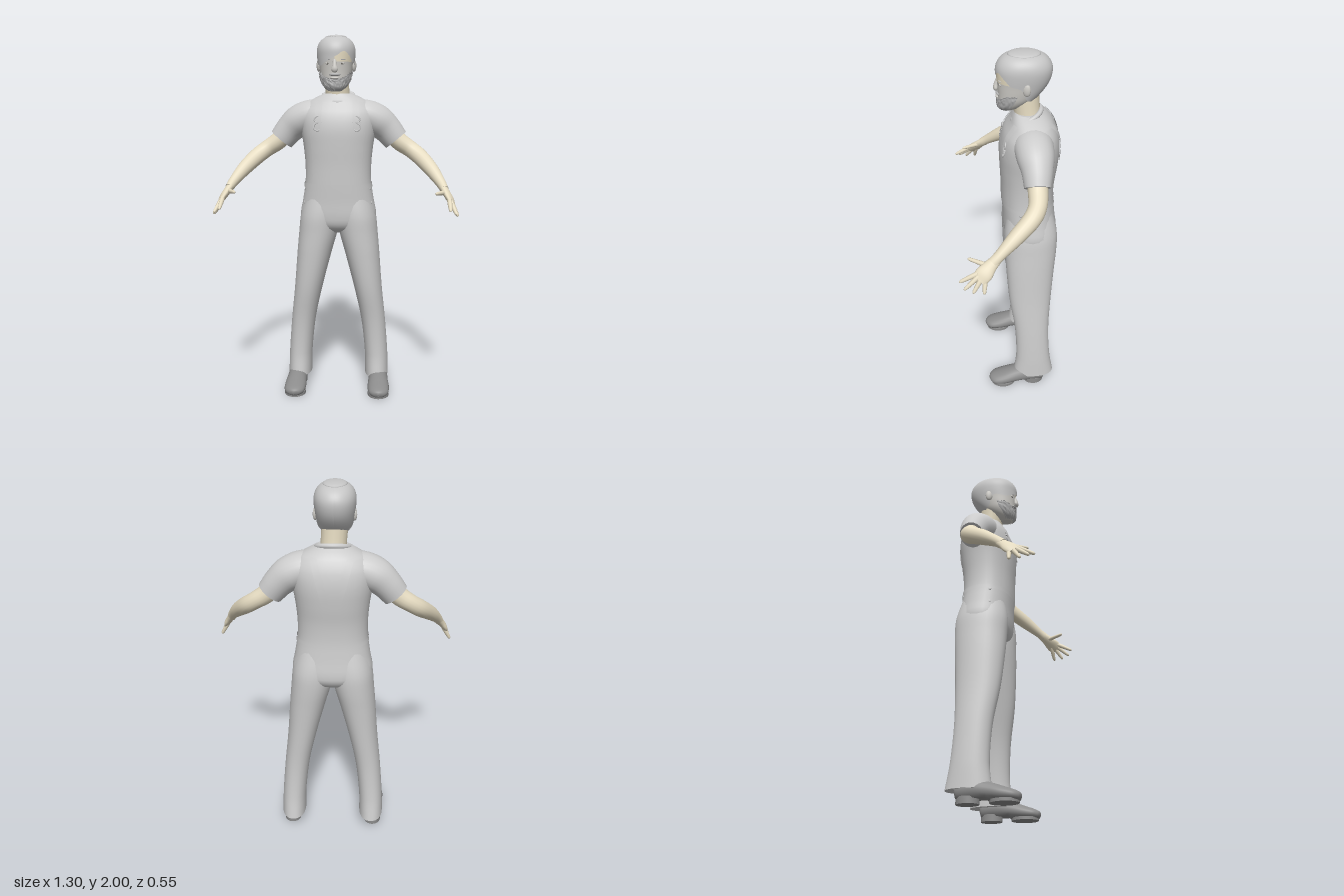
import * as THREE from 'three';

const mat = (name, color, side = THREE.FrontSide) => {
  const m = new THREE.MeshStandardMaterial({ color, side });
  m.name = name;
  return m;
};

// Smooth (Hermite) interpolation of keys [t, a, b, ...] at t
function sample(keys, t) {
  let i = 0;
  while (i < keys.length - 2 && t > keys[i + 1][0]) i++;
  const A = keys[i], B = keys[i + 1], h = B[0] - A[0];
  const s = Math.min(1, Math.max(0, (t - A[0]) / h));
  const P = keys[i - 1] || A, N = keys[i + 2] || B;
  return A.map((a, k) => {
    const m0 = (B[k] - P[k]) / (B[0] - P[0]) * h, m1 = (N[k] - A[k]) / (N[0] - A[0]) * h;
    const s2 = s * s, s3 = s2 * s;
    return (2 * s3 - 3 * s2 + 1) * a + (s3 - 2 * s2 + s) * m0 + (3 * s2 - 2 * s3) * B[k] + (s3 - s2) * m1;
  });
}

// Surface through rows of points; wrapped rows are capped at both ends
function surface(rows, wrap) {
  const n = rows[0].length, pos = [], idx = [];
  rows.forEach(r => r.forEach(p => pos.push(p.x, p.y, p.z)));
  for (let j = 0; j < rows.length - 1; j++)
    for (let i = 0; i < (wrap ? n : n - 1); i++) {
      const k = (i + 1) % n, a = j * n + i, b = j * n + k, c = a + n, d = b + n;
      idx.push(a, b, c, b, d, c);
    }
  if (wrap) [rows[0], rows[rows.length - 1]].forEach((r, end) => {
    const mid = r.reduce((s, p) => s.add(p), new THREE.Vector3()).divideScalar(n);
    const base = pos.length / 3;
    r.forEach(p => pos.push(p.x, p.y, p.z));
    pos.push(mid.x, mid.y, mid.z);
    for (let i = 0; i < n; i++) {
      const a = base + i, b = base + (i + 1) % n;
      end ? idx.push(a, b, base + n) : idx.push(b, a, base + n);
    }
  });
  const g = new THREE.BufferGeometry();
  g.setAttribute('position', new THREE.Float32BufferAttribute(pos, 3));
  g.setIndex(idx);
  g.computeVertexNormals();
  return g;
}

// Point on a horizontal section [y, cx, cz, rx, rz]; angle 0 faces the front
const pow = (v, e) => Math.sign(v) * Math.abs(v) ** (2 / e);
const onSection = ([y, cx, cz, rx, rz], th, e, off = 0) => new THREE.Vector3(
  cx + (rx + off) * pow(Math.sin(th), e), y, cz + (rz + off) * pow(Math.cos(th), e));

function stack(keys, e, n = 36, sub = 4) {
  const rows = [];
  for (let k = 0; k <= (keys.length - 1) * sub; k++) {
    const i = Math.min(Math.floor(k / sub), keys.length - 2), f = k / sub - i;
    const s = sample(keys, keys[i][0] + f * (keys[i + 1][0] - keys[i][0]));
    rows.push(Array.from({ length: n }, (_, a) => onSection(s, a / n * Math.PI * 2, e)));
  }
  return surface(rows, true);
}

// Patch lying just over a stack, between heights lo(angle) and hi(angle)
function shell(keys, e, th0, th1, lo, hi, off, n = 40, m = 16) {
  const rows = [];
  for (let j = 0; j <= m; j++) rows.push(Array.from({ length: n + 1 }, (_, i) => {
    const th = th0 + (th1 - th0) * i / n, f = Math.sin(j / m * Math.PI / 2);
    const y = lo(th) + (hi(th) - lo(th)) * f;
    const o = typeof off === 'function' ? off(i, j) : off;
    const p = onSection(sample(keys, y), th, e, o);
    return p;
  }));
  return surface(rows, false);
}

// Limb through points [x, y, z, r, r2]
function limb(pts, ref = [0, 0, 1], n = 18, sub = 5) {
  const keys = pts.map((p, i) => [i, p[0], p[1], p[2], p[3], p[4] ?? p[3]]);
  const rv = new THREE.Vector3(...ref), rows = [], last = keys.length - 1;
  const at = t => new THREE.Vector3(...sample(keys, t).slice(1, 4));
  for (let k = 0; k <= last * sub; k++) {
    const t = k / sub, [, , , , r, r2] = sample(keys, t), c = at(t);
    const dir = at(Math.min(last, t + 0.05)).sub(at(Math.max(0, t - 0.05))).normalize();
    const u = rv.clone().cross(dir).normalize(), v = u.clone().cross(dir);
    rows.push(Array.from({ length: n }, (_, i) => {
      const a = i / n * Math.PI * 2;
      return c.clone().addScaledVector(u, r * Math.sin(a)).addScaledVector(v, r2 * Math.cos(a));
    }));
  }
  return surface(rows, true);
}

function mirrored(g) {
  const m = g.clone().scale(-1, 1, 1), ix = m.index.array;
  for (let i = 0; i < ix.length; i += 3) [ix[i], ix[i + 1]] = [ix[i + 1], ix[i]];
  m.computeVertexNormals();
  return m;
}

// Sections [y, cx, cz, rx, rz]
const TORSO = [[0.92, 0, -0.12, 0.08, 0.07], [0.95, 0, -0.12, 0.17, 0.12], [1.0, 0, -0.122, 0.213, 0.143],
  [1.1, 0, -0.115, 0.2, 0.14], [1.2, 0, -0.108, 0.185, 0.137], [1.3, 0, -0.108, 0.184, 0.139],
  [1.4, 0, -0.112, 0.193, 0.148], [1.5, 0, -0.115, 0.208, 0.152], [1.58, 0, -0.118, 0.21, 0.138],
  [1.64, 0, -0.122, 0.17, 0.108], [1.67, 0, -0.115, 0.12, 0.088], [1.69, 0, -0.105, 0.075, 0.068]];
const LEG = [[0.07, 0.225, -0.14, 0.067, 0.116], [0.2, 0.221, -0.137, 0.066, 0.098], [0.4, 0.202, -0.128, 0.069, 0.097],
  [0.6, 0.17, -0.118, 0.08, 0.117], [0.8, 0.136, -0.118, 0.098, 0.133], [0.92, 0.114, -0.121, 0.109, 0.141],
  [1.02, 0.1, -0.12, 0.112, 0.142], [1.14, 0.08, -0.115, 0.1, 0.12]];
const HEAD = [[1.7, -0.01, -0.005, 0.025, 0.03], [1.72, -0.01, -0.015, 0.052, 0.057], [1.76, -0.01, -0.042, 0.076, 0.088],
  [1.8, -0.01, -0.06, 0.085, 0.107], [1.84, -0.01, -0.073, 0.09, 0.122], [1.88, -0.01, -0.08, 0.095, 0.13],
  [1.92, -0.01, -0.082, 0.096, 0.131], [1.95, -0.01, -0.082, 0.088, 0.119], [1.973, -0.01, -0.082, 0.071, 0.097],
  [1.987, -0.01, -0.082, 0.048, 0.066], [1.993, -0.01, -0.082, 0.022, 0.03], [1.995, -0.01, -0.082, 0.002, 0.003]];
const HAIRLINE = [[-3.15, 1.75], [-1.9, 1.78], [-1.5, 1.84], [-0.9, 1.835], [-0.4, 1.86], [0.1, 1.888],
  [0.45, 1.91], [0.8, 1.885], [1.1, 1.855], [1.5, 1.84], [1.9, 1.78], [3.15, 1.75]];

export function createModel() {
  const model = new THREE.Group();
  model.name = 'workerFigure';
  const cloth = mat('light grey cloth', 0xcccccc, THREE.DoubleSide);
  const skin = mat('skin', 0xe6dcc2);
  const face = mat('pale face', 0xcbc9c4);
  const hair = mat('grey hair', 0xc6c6c6, THREE.DoubleSide);
  const beardMat = mat('beard', 0xb2b2b2, THREE.DoubleSide);
  const leather = mat('shoe grey', 0x8c8c8c);
  const dark = mat('dark detail', 0x77736c);
  const add = (name, geo, m) => {
    const mesh = new THREE.Mesh(geo, m);
    mesh.name = name;
    model.add(mesh);
  };
  const pair = (name, geo, m) => {
    add('left' + name, geo, m);
    add('right' + name, mirrored(geo), m);
  };

  // Clothed body
  add('torso', stack(TORSO, 2.3), cloth);
  pair('TrouserLeg', stack(LEG, 2.2), cloth);
  pair('Sleeve', limb([[0.06, 1.575, -0.12, 0.07, 0.09], [0.14, 1.57, -0.12, 0.088, 0.098], [0.215, 1.54, -0.124, 0.09, 0.093],
    [0.27, 1.495, -0.127, 0.08, 0.078], [0.32, 1.435, -0.125, 0.071, 0.066]], undefined, 26), cloth);
  const collar = new THREE.TorusGeometry(0.076, 0.013, 10, 36).rotateX(Math.PI / 2);
  add('collar', collar.scale(1.08, 1, 1).rotateX(0.38).translate(0, 1.672, -0.098), cloth);

  // Overall bib, waistband and shoulder straps
  add('bib', shell(TORSO, 2.3, -0.75, 0.75, () => 1.2, th => 1.55 - 0.12 * th * th, 0.004), cloth);
  add('waistband', shell(TORSO, 2.3, -Math.PI, Math.PI, () => 1.175, () => 1.2, 0.004, 60, 3), cloth);
  const strap = (front, x0, y0, x1, y1) => surface(Array.from({ length: 13 }, (_, j) => {
    const f = j / 12, y = y0 + (y1 - y0) * f, [, , cz, rx, rz] = sample(TORSO, y);
    return [-0.018, 0, 0.018].map(w => {
      const x = x0 + (x1 - x0) * f + w;
      const d = (rz + 0.006) * Math.max(0, 1 - Math.abs(x / rx) ** 2.3) ** (1 / 2.3);
      return new THREE.Vector3(x, y, cz + (front ? d : -d));
    });
  }), false);
  pair('FrontStrap', strap(true, 0.106, 1.49, 0.098, 1.655), cloth);
  pair('BackStrap', strap(false, 0.03, 1.42, 0.092, 1.655), cloth);
  [[1.552, 0.017], [1.512, 0.02]].forEach(([y, r], i) =>
    pair('Buckle' + i, new THREE.TorusGeometry(r, 0.004, 6, 16).rotateX(-0.2).translate(0.106, y, i ? 0.026 : 0.018), cloth));
  pair('BuckleBar', new THREE.BoxGeometry(0.05, 0.008, 0.008).translate(0.106, 1.535, 0.022), cloth);
  [1.17, 1.09].forEach((y, i) => pair('HipButton' + i,
    new THREE.SphereGeometry(0.01, 10, 8).scale(0.5, 1, 1).translate(i ? 0.187 : 0.178, y, -0.06), cloth));

  // Arms
  pair('Arm', limb([[0.27, 1.5, -0.125, 0.05], [0.335, 1.43, -0.125, 0.05], [0.4, 1.385, -0.118, 0.046], [0.452, 1.345, -0.085, 0.045],
    [0.51, 1.285, -0.005, 0.039], [0.555, 1.225, 0.07, 0.028], [0.574, 1.192, 0.108, 0.023, 0.028]]), skin);

  // Hands
  const spread = [0.05, -0.04, -0.115];
  pair('Palm', limb([[0.566, 1.206, 0.09, 0.021, 0.026], [0.582, 1.178, 0.122, 0.02, 0.033],
    [0.6, 1.148, 0.152, 0.018, 0.042], [0.611, 1.122, 0.178, 0.012, 0.038]], spread), skin);
  [[[0.596, 1.14, 0.198], [0.596, 1.1, 0.272]], [[0.607, 1.13, 0.187], [0.629, 1.079, 0.25]],
    [[0.614, 1.122, 0.17], [0.64, 1.064, 0.208]], [[0.614, 1.118, 0.148], [0.646, 1.06, 0.155]],
    [[0.574, 1.178, 0.135], [0.522, 1.183, 0.226]]].forEach(([a, b], i) => {
    const at = f => a.map((v, k) => v + (b[k] - v) * f);
    pair(i < 4 ? 'Finger' + i : 'Thumb', limb([[...at(-0.25), 0.012], [...at(0.1), 0.0125], [...at(0.55), 0.0105],
      [...at(0.9), 0.008], [...at(1), 0.003]], spread, 10, 3), skin);
  });

  // Neck, head and hair
  add('neck', limb([[0, 1.62, -0.11, 0.07], [-0.004, 1.69, -0.1, 0.066, 0.066], [-0.01, 1.79, -0.088, 0.068, 0.07]]), skin);
  add('head', stack(HEAD, 2.15, 40), face);
  add('foreheadSkin', shell(HEAD, 2.15, 0, 1.1, () => 1.855, () => 1.915, 0.002, 16, 6), skin);
  add('hair', shell(HEAD, 2.15, -Math.PI, Math.PI, th => sample(HAIRLINE, th)[1], () => 1.995, 0.008, 72, 20), hair);
  add('hairCrown', new THREE.SphereGeometry(0.06, 24, 12).scale(1, 0.25, 1.35).translate(-0.01, 1.985, -0.082), hair);
  const rough = (i, j) => 0.003 + 0.007 * Math.abs(Math.sin(i * 12.99 + j * 78.23) * 437.58 % 1);
  add('beard', shell(HEAD, 2.15, -1.45, 1.45, () => 1.703, th => 1.765 + 0.035 * Math.min(1, th * th), rough, 44, 12), beardMat);

  // Face features
  add('nose', limb([[-0.01, 1.865, 0.043, 0.01], [-0.01, 1.835, 0.051, 0.013], [-0.01, 1.815, 0.055, 0.018, 0.013],
    [-0.01, 1.804, 0.05, 0.012]], [0, 0, 1], 14), face);
  add('mustache', new THREE.SphereGeometry(0.03, 18, 10).scale(1, 0.28, 0.45).translate(-0.01, 1.788, 0.043), beardMat);
  add('lips', new THREE.SphereGeometry(0.022, 16, 10).scale(1, 0.3, 0.5).translate(-0.01, 1.77, 0.046), face);
  [-1, 1].forEach(s => {
    const x = -0.01 + s * 0.038, side = s > 0 ? 'left' : 'right';
    add(side + 'Eye', new THREE.SphereGeometry(0.013, 14, 10).scale(1, 0.5, 0.5).translate(x, 1.846, 0.036), face);
    add(side + 'Iris', new THREE.SphereGeometry(0.005, 10, 8).scale(1, 1, 0.5).translate(x, 1.846, 0.041), dark);
    add(side + 'Eyebrow', new THREE.SphereGeometry(0.02, 14, 8).scale(1, 0.2, 0.4).rotateY(s * 0.35).translate(x, 1.866, 0.037), hair);
    add(side + 'Ear', new THREE.SphereGeometry(0.033, 16, 12).scale(0.35, 1, 0.62).rotateY(-s * 0.35).translate(-0.01 + s * 0.096, 1.838, -0.088), face);
  });

  // Shoes with a separate heel
  const shoe = limb([[0.235, 0.06, -0.203, 0.02, 0.03], [0.235, 0.062, -0.19, 0.045, 0.05], [0.235, 0.065, -0.12, 0.052, 0.055],
    [0.235, 0.055, -0.04, 0.056, 0.048], [0.237, 0.04, 0.03, 0.061, 0.04], [0.238, 0.031, 0.085, 0.055, 0.03],
    [0.238, 0.027, 0.112, 0.034, 0.021], [0.238, 0.025, 0.122, 0.006, 0.008]], [0, 1, 0], 24);
  const sp = shoe.attributes.position;
  for (let i = 0; i < sp.count; i++) sp.setY(i, Math.max(sp.getY(i), sp.getZ(i) < -0.04 ? 0.025 : 0.01));
  shoe.computeVertexNormals();
  pair('Shoe', shoe, leather);
  pair('Heel', new THREE.CylinderGeometry(0.05, 0.05, 0.035, 24).scale(0.95, 1, 1.15).translate(0.235, 0.0175, -0.14), leather);
  pair('Sole', new THREE.CylinderGeometry(0.06, 0.06, 0.016, 28).scale(1, 1, 1.2).translate(0.237, 0.008, 0.04), leather);
  return model;
}
